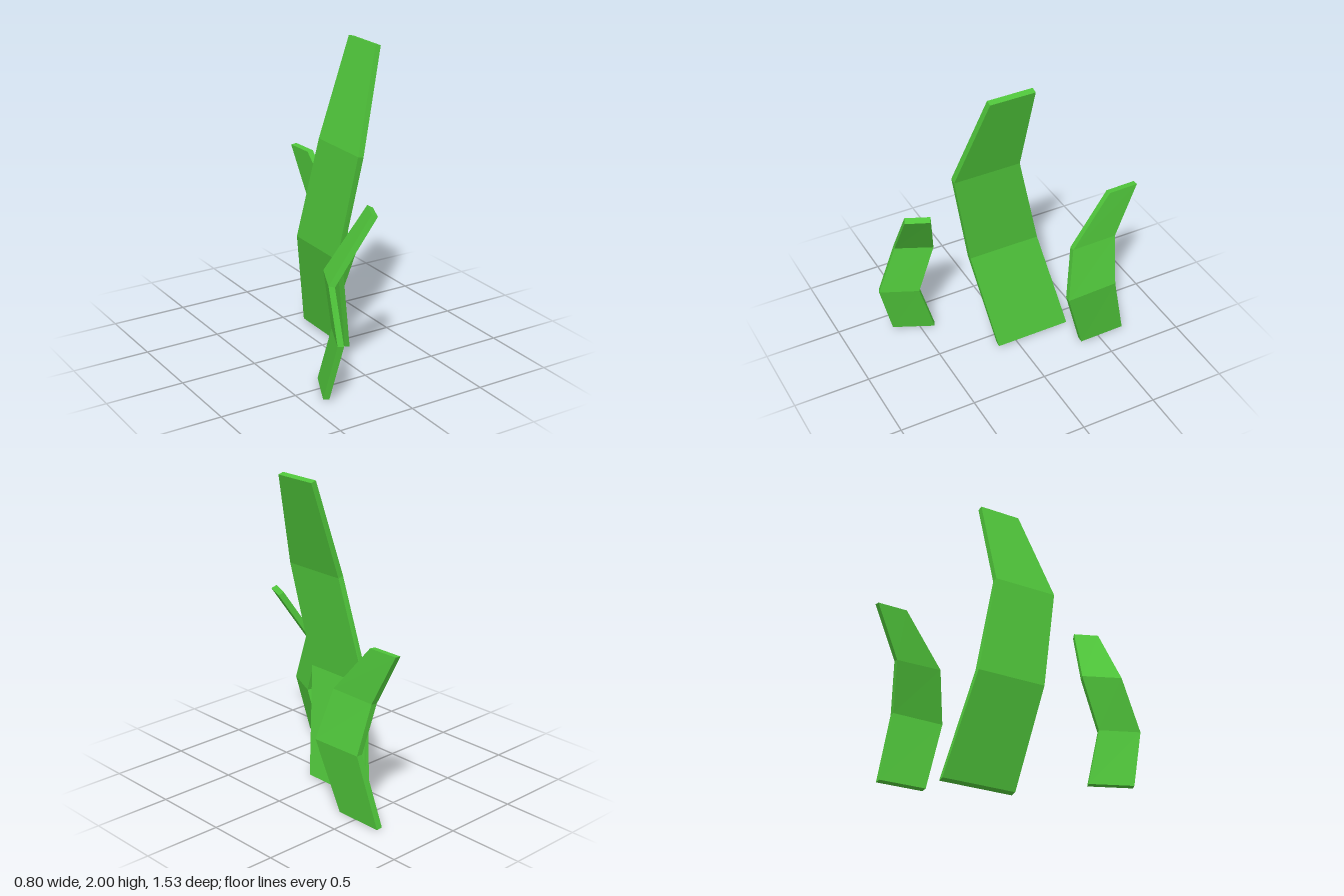
import * as THREE from 'three';

const green = new THREE.MeshStandardMaterial({ color: 0x4fc43a, flatShading: true });

// Lofts a bent blade through four-cornered cross-sections, listed from root to tip.
// Corners run counter-clockwise seen from above.
function blade(name, sections) {
  const pos = [];
  const quad = (a, b, c, d) => {
    for (const p of [a, b, c, a, c, d]) pos.push(...p);
  };
  for (let s = 0; s < sections.length - 1; s++) {
    const lo = sections[s], hi = sections[s + 1];
    for (let i = 0; i < 4; i++) {
      const j = (i + 1) % 4;
      quad(lo[i], lo[j], hi[j], hi[i]);
    }
  }
  quad(...[...sections[0]].reverse()); // root cap
  quad(...sections[sections.length - 1]); // tip cap
  const geo = new THREE.BufferGeometry();
  geo.setAttribute('position', new THREE.Float32BufferAttribute(pos, 3));
  geo.computeVertexNormals();
  const mesh = new THREE.Mesh(geo, green);
  mesh.name = name;
  return mesh;
}

// Cross-section from its outer front and back corners, given a thickness vector (tx, ty, tz).
function section([fx, fy, fz], [bx, by, bz], [tx, ty, tz]) {
  return [
    [fx, fy, fz],
    [fx + tx, fy + ty, fz + tz],
    [bx + tx, by + ty, bz + tz],
    [bx, by, bz],
  ];
}

export function createModel() {
  const grass = new THREE.Group();
  grass.name = 'grassTuft';

  // Tall middle blade
  grass.add(blade('tallBlade', [
    section([0.088, 0.02, 0.13], [0.088, 0.02, -0.375], [0.037, -0.01, 0]),
    section([-0.054, 0.69, 0.255], [-0.054, 0.69, -0.22], [0.038, 0.005, 0]),
    section([0.01, 1.375, 0.383], [0.01, 1.375, -0.057], [0.038, -0.01, 0]),
    section([0.217, 2.0, 0.245], [0.217, 2.0, -0.045], [0.037, -0.01, 0]),
  ]));

  // Short blade behind, on the left
  grass.add(blade('backBlade', [
    section([0.292, 0.01, -0.37], [0.284, 0.005, -0.685], [0.04, -0.005, 0]),
    section([0.357, 0.465, -0.228], [0.345, 0.465, -0.575], [0.04, 0, 0.002]),
    section([0.273, 0.785, -0.297], [0.26, 0.775, -0.607], [0.04, 0.007, 0.002]),
    section([0.237, 1.11, -0.565], [0.23, 1.108, -0.765], [0.04, 0.004, 0]),
  ]));

  // Short blade in front, on the right, turned and bowing inwards
  grass.add(blade('frontBlade', [
    section([-0.4, 0.015, 0.652], [-0.284, 0.015, 0.402], [0.035, -0.003, 0.015]),
    section([-0.36, 0.385, 0.747], [-0.254, 0.385, 0.512], [0.035, -0.003, 0.015]),
    section([-0.348, 0.72, 0.628], [-0.245, 0.72, 0.405], [0.035, -0.01, 0.014]),
    section([-0.075, 1.122, 0.662], [-0.012, 1.122, 0.518], [0.032, -0.018, 0.014]),
  ]));

  return grass;
}
